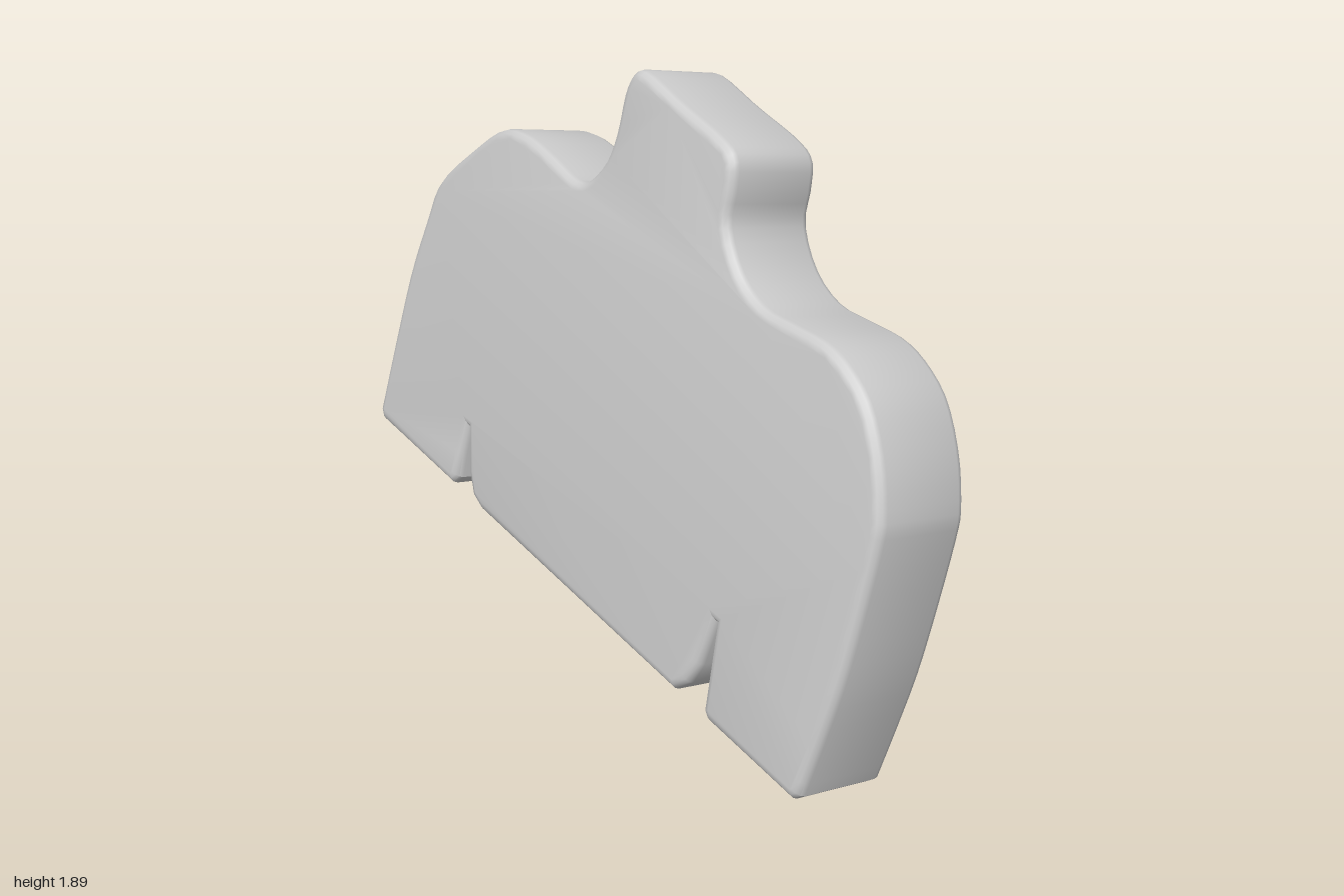
import * as THREE from 'three';
import { toCreasedNormals } from 'three/addons/utils/BufferGeometryUtils.js';

const THICKNESS = 0.335, BEVEL = 0.03;
const toVectors = (points) => points.map(([x, y]) => new THREE.Vector2(x, y));

// Outline of arms, shoulders and neck, from the right arm's foot over to the left arm's foot
const UPPER = [
  [-1.492, 0.025], [-1.496, 0.3], [-1.494, 0.562], [-1.468, 0.77], [-1.437, 0.925], [-1.291, 1.1],
  [-1.163, 1.218], [-1.029, 1.25], [-0.878, 1.238], [-0.74, 1.218], [-0.668, 1.245],
  [-0.614, 1.329], [-0.598, 1.43], [-0.606, 1.558], [-0.585, 1.625], [-0.53, 1.645],
  [-0.35, 1.616], [-0.153, 1.59], [-0.068, 1.555], [-0.038, 1.47], [-0.02, 1.37],
  [0.079, 1.268], [0.203, 1.22], [0.33, 1.226], [0.47, 1.236], [0.58, 1.212], [0.69, 1.15],
  [0.79, 1.03], [0.855, 0.9], [0.872, 0.82], [0.888, 0.63], [0.9, 0.4], [0.895, 0.2], [0.886, 0.02],
];
// Lower edge with the two narrow slots between arms and torso
const LOWER = [
  [0.862, -0.005], [0.465, -0.005], [0.438, 0.015], [0.412, 0.15], [0.386, 0.285], [0.38, 0.285],
  [0.374, 0.13], [0.35, 0.05], [0.3, -0.005],
  [-0.8, -0.005], [-0.86, 0.015], [-0.91, 0.08], [-0.968, 0.22], [-0.974, 0.22],
  [-0.97, 0.12], [-0.96, 0.03], [-0.985, -0.005], [-1.465, -0.005],
];

export function createModel() {
  const group = new THREE.Group();

  const shape = new THREE.Shape();
  shape.moveTo(...UPPER[0]);
  shape.splineThru(toVectors(UPPER.slice(1)));
  for (const [x, y] of LOWER) shape.lineTo(x, y);
  shape.closePath();

  // Slab with softly rounded rims, front face on the local z = 0 plane
  const slab = new THREE.ExtrudeGeometry(shape, {
    depth: THICKNESS - 2 * BEVEL,
    bevelSize: BEVEL,
    bevelOffset: -BEVEL,
    bevelThickness: BEVEL,
    bevelSegments: 3,
    curveSegments: 3,
  });
  slab.translate(0, 0, BEVEL - THICKNESS);

  const torso = new THREE.Mesh(
    toCreasedNormals(slab, 0.65),
    new THREE.MeshStandardMaterial({ color: 0xcccccc }),
  );
  torso.name = 'torsoSlab';

  // Turn the slab diagonally, lean it back and roll it to one side
  const across = new THREE.Vector3(0.679, -0.173, 0.713).normalize();
  const up = new THREE.Vector3(-0.69, 0.17, 0.7).cross(across).normalize();
  const facing = across.clone().cross(up);
  torso.quaternion.setFromRotationMatrix(new THREE.Matrix4().makeBasis(across, up, facing));
  torso.position.set(-0.007, 0.197, 0.325);

  group.add(torso);
  return group;
}
